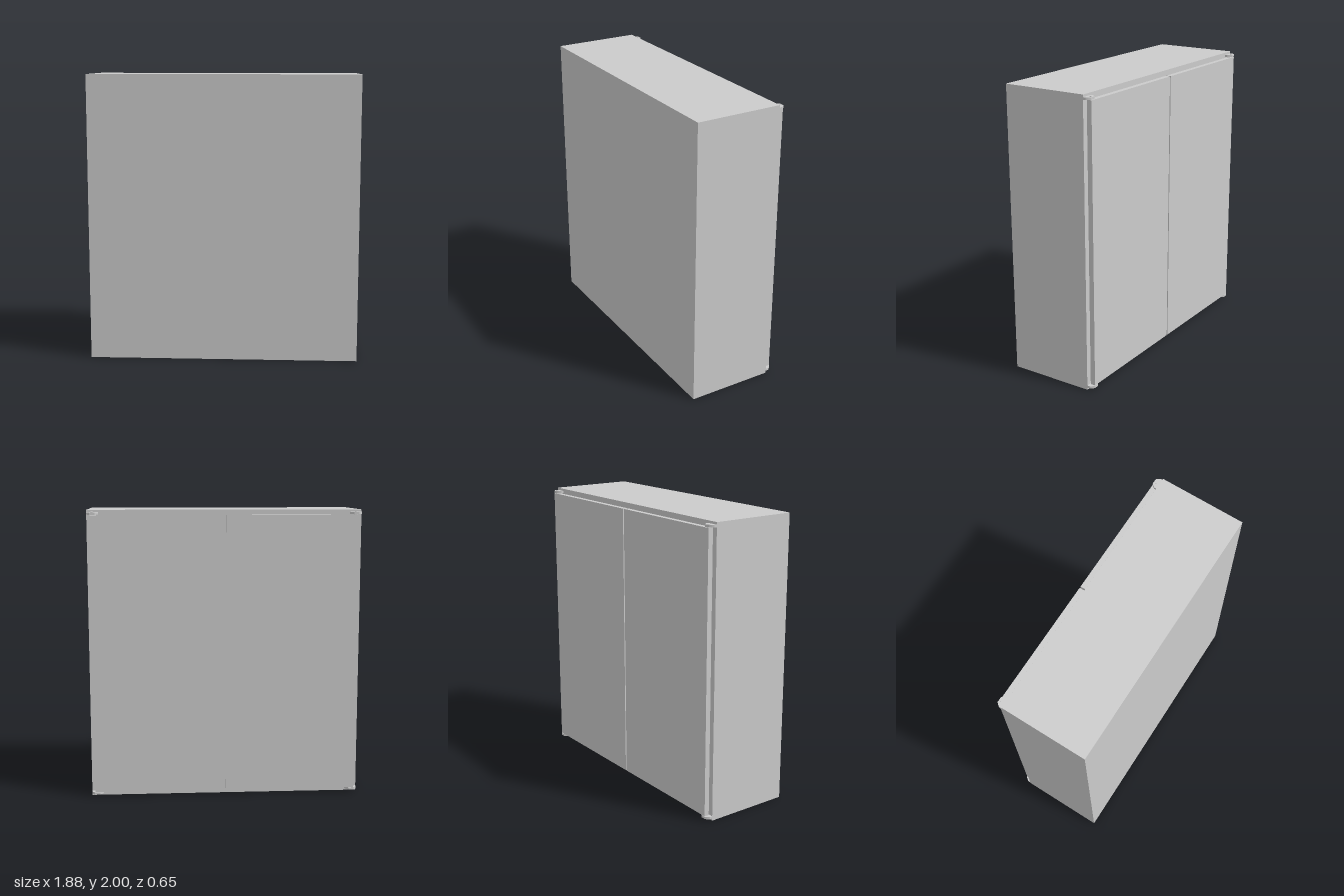
import * as THREE from 'three';

const material = new THREE.MeshStandardMaterial({ color: 0xcccccc, flatShading: true });

function box(name, w, h, d, x, y, z) {
  const mesh = new THREE.Mesh(new THREE.BoxGeometry(w, h, d), material);
  mesh.name = name;
  mesh.position.set(x, y, z);
  return mesh;
}

// Flat hinge plate: straight base on the carcass, tapered and rounded tip
function hingeGeometry(thickness) {
  const s = new THREE.Shape();
  s.moveTo(-0.04, 0);
  s.lineTo(0.04, 0);
  s.lineTo(0.04, 0.018);
  s.quadraticCurveTo(0.034, 0.032, 0.018, 0.045);
  s.lineTo(-0.018, 0.045);
  s.quadraticCurveTo(-0.034, 0.032, -0.04, 0.018);
  s.closePath();
  const g = new THREE.ExtrudeGeometry(s, { depth: thickness, bevelEnabled: false, curveSegments: 4 });
  g.translate(0, 0, -thickness / 2);
  g.rotateX(-Math.PI / 2); // plate lies flat, tip towards -z
  return g;
}

export function createModel() {
  const model = new THREE.Group();
  model.name = 'cabinet';

  // Carcass, with the doors on its -z side
  model.add(box('carcass', 1.88, 2, 0.605, 0, 1, 0.0225));

  const plate = hingeGeometry(0.016);
  const pin = new THREE.CylinderGeometry(0.008, 0.008, 0.024, 12);
  for (const side of [-1, 1]) {
    const label = side > 0 ? 'left' : 'right';

    // Door panel, leaving a narrow slit in the middle
    model.add(box(label + 'Door', 0.91, 1.93, 0.035, side * 0.46, 1, -0.3075));

    // Top and bottom hinges, each a plate with a pin into the door
    for (const end of [-1, 1]) {
      const hinge = new THREE.Group();
      hinge.name = label + (end > 0 ? 'Top' : 'Bottom') + 'Hinge';
      const p = new THREE.Mesh(plate, material);
      p.name = 'hingePlate';
      const c = new THREE.Mesh(pin, material);
      c.name = 'hingePin';
      c.position.set(0, 0, -0.029);
      hinge.add(p, c);
      hinge.position.set(side * 0.9, 1 + end * 0.976, -0.28);
      model.add(hinge);
    }
  }
  return model;
}
